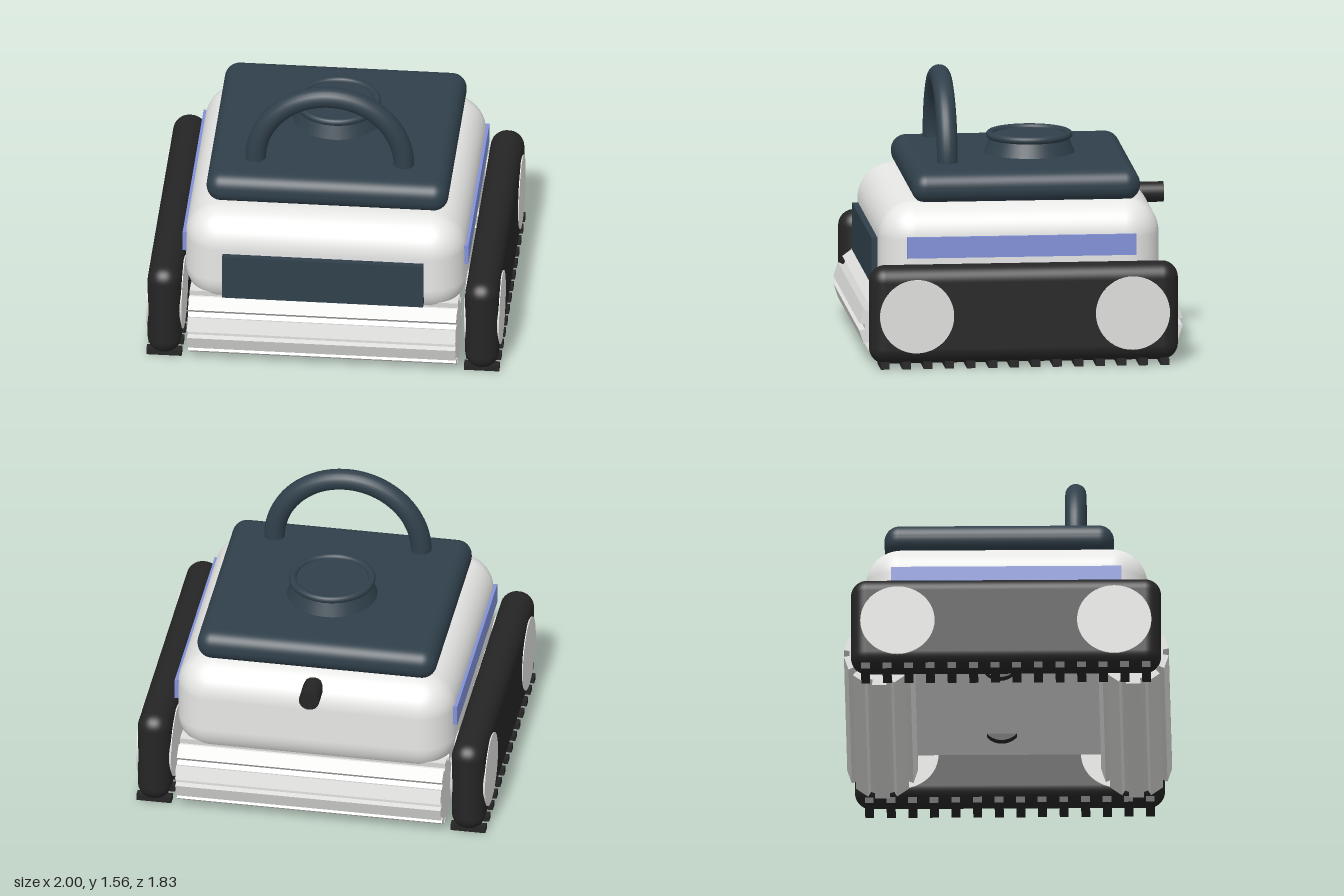
import * as THREE from 'three';
import { RoundedBoxGeometry } from 'three/addons/geometries/RoundedBoxGeometry.js';

const material = (name, color) => {
  const m = new THREE.MeshStandardMaterial({ color });
  m.name = name;
  return m;
};

export function createModel() {
  const white = material('body white', 0xe9e9e8);
  const grey = material('roller light grey', 0xe0e0de);
  const slate = material('slate blue', 0x30404b);
  const black = material('rubber black', 0x252525);
  const blue = material('trim blue', 0x8292da);

  const model = new THREE.Group();
  model.name = 'poolCleaningRobot';

  const add = (name, geometry, mat, x = 0, y = 0, z = 0, parent = model) => {
    const mesh = new THREE.Mesh(geometry, mat);
    mesh.name = name;
    mesh.position.set(x, y, z);
    parent.add(mesh);
    return mesh;
  };
  const box = (w, h, d) => new THREE.BoxGeometry(w, h, d);
  const rounded = (w, h, d, r) => new RoundedBoxGeometry(w, h, d, 8, r);
  const axle = (r, length) => new THREE.CylinderGeometry(r, r, length, 48).rotateZ(Math.PI / 2);

  // Body shell, underside and lid
  add('body', rounded(1.59, 0.6, 1.59, 0.2), white, 0, 0.6, 0);
  add('underside', box(1.36, 0.14, 1.2), white, 0, 0.31, 0);
  add('lid', rounded(1.37, 0.18, 1.295, 0.085), slate, 0, 0.97, -0.042);
  add('frontPanel', box(1.14, 0.27, 0.05), slate, 0, 0.545, 0.805);

  // Filter cap on the lid
  add('capBase', new THREE.CylinderGeometry(0.215, 0.26, 0.11, 48), slate, 0, 1.105, -0.12);
  add('capRing', new THREE.TorusGeometry(0.223, 0.0215, 16, 64).rotateX(Math.PI / 2), slate, 0, 1.158, -0.12);

  // Carrying handle: half ring with closed ends
  const handle = new THREE.Group();
  handle.name = 'handle';
  handle.position.set(0, 1.08, 0.385);
  model.add(handle);
  add('handleArch', new THREE.TorusGeometry(0.42, 0.059, 20, 48, Math.PI), slate, 0, 0, 0, handle);
  for (const s of [-1, 1]) {
    add('handleEnd', new THREE.CircleGeometry(0.059, 20).rotateX(Math.PI / 2), slate, s * 0.42, 0, 0, handle);
  }

  // Cable socket at the back
  add('cableSocket', new THREE.CylinderGeometry(0.058, 0.058, 0.16, 24).rotateX(Math.PI / 2), black, 0, 0.815, -0.8);

  // Tracks with wheel discs, tread pads and side trims
  for (const s of [-1, 1]) {
    const track = new THREE.Group();
    track.name = s > 0 ? 'leftTrack' : 'rightTrack';
    track.position.x = s * 0.9;
    model.add(track);
    add('trackBelt', rounded(0.19, 0.56, 1.75, 0.09), black, 0, 0.3, 0, track);
    for (const z of [-0.612, 0.612]) add('wheelDisc', axle(0.21, 0.2), grey, 0, 0.3, z, track);
    for (let i = 0; i < 14; i++) {
      add('treadPad', box(0.2, 0.036, 0.05), black, 0, 0.018, -0.793 + i * 0.122, track);
    }
    add('sideTrim', box(0.05, 0.12, 1.3), blue, s * 0.785, 0.66, 0);
    // Small support wheel peeking out below
    add('supportWheel', axle(0.11, 0.05), black, s * 0.42, 0.31, -0.04);
  }

  // Brush rollers: ten flat lobes separated by narrow grooves
  const profile = new THREE.Shape();
  const lobes = 10;
  for (let i = 0; i < lobes; i++) {
    const mid = ((i + 0.5) / lobes) * Math.PI * 2;
    for (const [r, degrees] of [[0.168, -13], [0.201, -12], [0.201, 12], [0.168, 13]]) {
      const a = mid + THREE.MathUtils.degToRad(degrees);
      const x = r * Math.cos(a), y = r * Math.sin(a);
      if (i === 0 && degrees === -13) profile.moveTo(x, y);
      else profile.lineTo(x, y);
    }
  }
  profile.closePath();
  const roller = new THREE.ExtrudeGeometry(profile, { depth: 1.52, bevelEnabled: false });
  roller.translate(0, 0, -0.76).rotateY(Math.PI / 2);
  add('frontRoller', roller, grey, 0, 0.205, 0.717);
  add('backRoller', roller, grey, 0, 0.205, -0.717);

  return model;
}
